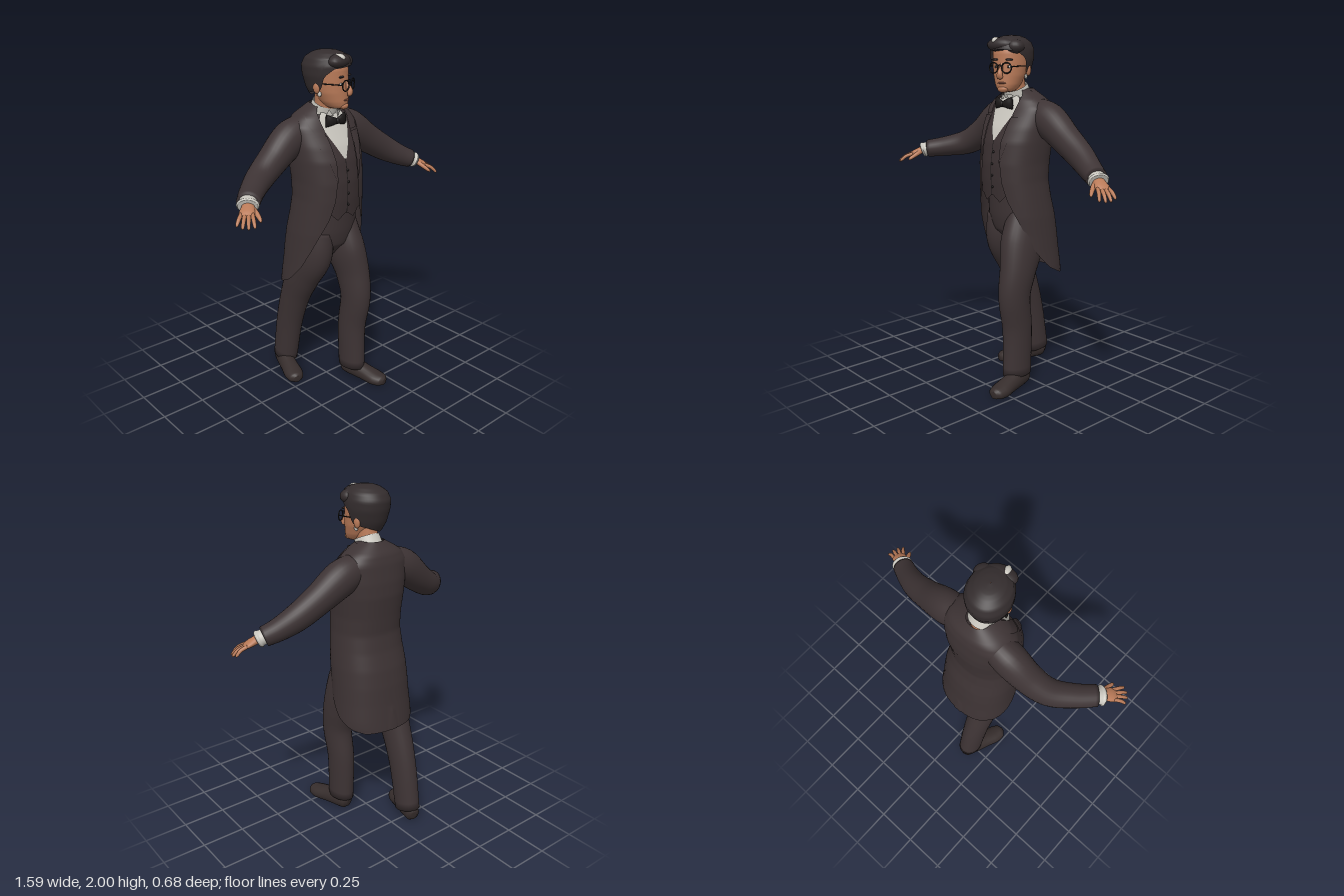
import * as THREE from 'three';
import { mergeVertices } from 'three/addons/utils/BufferGeometryUtils.js';

const mat = (name, color) => new THREE.MeshStandardMaterial({ name, color, side: THREE.DoubleSide });
const V = (x, y, z) => new THREE.Vector3(x, y, z);

// Smooth surface from a rule (u, v) -> point
function grid(nu, nv, fn) {
  const pos = [], idx = [];
  for (let j = 0; j <= nv; j++) for (let i = 0; i <= nu; i++) pos.push(...fn(i / nu, j / nv));
  for (let j = 0; j < nv; j++) for (let i = 0; i < nu; i++) {
    const a = j * (nu + 1) + i, b = a + 1, c = a + nu + 1, d = c + 1;
    idx.push(a, b, c, b, d, c);
  }
  let g = new THREE.BufferGeometry();
  g.setAttribute('position', new THREE.Float32BufferAttribute(pos, 3));
  g.setIndex(idx);
  g = mergeVertices(g, 1e-5);
  g.computeVertexNormals();
  return g;
}

// Capped oval tube through rows of [x, y, z, sideRadius, otherRadius]
function sweep(rows, ref = V(0, 1, 0), n = 20, steps = 6) {
  const path = new THREE.CatmullRomCurve3(rows.map(r => V(r[0], r[1], r[2])));
  const size = new THREE.CatmullRomCurve3(rows.map(r => V(r[3], r[4], 0)));
  const m = (rows.length - 1) * steps;
  return grid(n, m + 2, (u, v) => {
    const j = Math.round(v * (m + 2)), t = Math.min(Math.max(j - 1, 0), m) / m;
    const c = path.getPoint(t), s = size.getPoint(t), k = j === 0 || j === m + 2 ? 0 : 1;
    const tan = path.getTangent(t), a = ref.clone().cross(tan).normalize(), b = tan.clone().cross(a);
    const ang = u * Math.PI * 2;
    c.addScaledVector(a, k * s.x * Math.cos(ang)).addScaledVector(b, k * s.y * Math.sin(ang));
    return [c.x, Math.max(c.y, 0), c.z];
  });
}

// Interpolate a table sorted by its first column
function at(table, y) {
  let i = 0;
  while (i < table.length - 2 && y > table[i + 1][0]) i++;
  const a = table[i], b = table[i + 1], t = THREE.MathUtils.clamp((y - a[0]) / (b[0] - a[0]), 0, 1);
  return a.map((q, k) => q + (b[k] - q) * t);
}

// Point on a body of oval rings [y, halfWidth, front, back]; angle 0 is the front
function ring(table, y, ang, off = 0, pw = 1) {
  const [, rx, zf, zb] = at(table, y), s = Math.sin(ang), c = Math.cos(ang);
  const f = q => Math.sign(q) * Math.abs(q) ** pw;
  return [(rx + off) * f(s), y, (zf + zb) / 2 + ((zf - zb) / 2 + off) * f(c)];
}

// Coat rings, last column is the angle of the front edge
const COAT = [
  [0.64, 0.238, 0.15, -0.245, 2.4], [0.66, 0.238, 0.15, -0.243, 1.95], [0.7, 0.237, 0.15, -0.238, 1.6],
  [0.8, 0.23, 0.16, -0.225, 1.22], [0.9, 0.225, 0.17, -0.215, 0.97], [1.0, 0.22, 0.185, -0.2, 0.76],
  [1.1, 0.21, 0.192, -0.175, 0.52], [1.2, 0.2, 0.2, -0.16, 0.39], [1.3, 0.2, 0.2, -0.168, 0.33],
  [1.42, 0.21, 0.182, -0.18, 0.31], [1.5, 0.215, 0.15, -0.178, 0.34], [1.6, 0.215, 0.095, -0.165, 0.4],
  [1.65, 0.17, 0.07, -0.15, 0.55], [1.68, 0.12, 0.05, -0.125, 0.75], [1.71, 0.065, 0.03, -0.1, 0.9]];
const FACE = [
  [1.688, 0.002, 0.09, 0.08], [1.69, 0.03, 0.11, 0.03], [1.705, 0.052, 0.126, 0.0], [1.73, 0.068, 0.13, -0.03],
  [1.78, 0.086, 0.128, -0.06], [1.84, 0.096, 0.127, -0.09], [1.9, 0.1, 0.125, -0.1], [1.95, 0.09, 0.11, -0.09],
  [1.98, 0.05, 0.06, -0.05]];
const HAIR = [
  [1.74, 0.075, 0.1, -0.075], [1.8, 0.102, 0.13, -0.11], [1.87, 0.118, 0.135, -0.13], [1.92, 0.119, 0.14, -0.135],
  [1.96, 0.105, 0.13, -0.115], [1.985, 0.073, 0.095, -0.075], [1.995, 0.045, 0.06, -0.045], [2.0, 0.001, 0.011, 0.009]];
const HAIRLINE = [[0, 1.92], [0.8, 1.91], [1.2, 1.87], [1.42, 1.8], [1.75, 1.79], [2.1, 1.78], [Math.PI, 1.75]];

export function createModel() {
  const suit = mat('suit cloth', 0x3d3334), vestM = mat('vest cloth', 0x3a3031), skin = mat('skin', 0xb97a58);
  const white = mat('shirt white', 0xc9c6be), hairM = mat('hair', 0x332c2d), black = mat('black trim', 0x1c1919);
  const shoeM = mat('shoe leather', 0x362d2c), lip = mat('lips', 0x8e5543);
  const root = new THREE.Group();
  const body = new THREE.Group(), head = new THREE.Group();
  body.name = 'body'; head.name = 'head';
  root.add(body, head);
  const add = (parent, name, geo, m, p) => {
    const o = new THREE.Mesh(geo, m);
    o.name = name;
    if (p) o.position.set(...p);
    parent.add(o);
    return o;
  };
  const blob = (parent, name, m, p, s) => add(parent, name, new THREE.SphereGeometry(1, 20, 14), m, p).scale.set(...s);
  const coatAt = (y, a, off) => { const p = ring(COAT, y, a, off, 0.88); p[0] -= 0.008; return p; };

  // Tailcoat: wraps from one front edge to the other, with a slit at the back
  add(body, 'tailcoat', grid(61, 70, (u, v) => {
    const y = 0.64 + 1.07 * v, a0 = at(COAT, y)[4];
    const gap = Math.max(0, 0.77 - y) * 0.55, i = Math.round(u * 61);
    const half = Math.PI - gap;
    const a = i <= 30 ? a0 + (half - a0) * i / 30 : 2 * Math.PI - half + (half - a0) * (i - 31) / 30;
    return gap === 0 || (i !== 30 && i !== 31) ? coatAt(y, a, 0) : coatAt(y, a, 0.004);
  }), suit);

  // Waistcoat with two points, shirt front in the V, front seam and buttons
  add(body, 'vest', grid(40, 30, (u, v) => {
    const a = (u - 0.5) * 2, low = 1.125 - 0.04 * Math.max(0, 1 - Math.abs(Math.abs(a) - 0.25) / 0.25);
    return coatAt(low + (1.66 - low) * v, a * 0.95, -0.012);
  }), vestM);
  add(body, 'shirtFront', grid(12, 16, (u, v) => {
    const y = 1.43 + 0.24 * v;
    return coatAt(y, (u - 0.5) * 2 * Math.min(0.48, 0.02 + 0.55 * v), -0.006);
  }), white);
  add(body, 'vestSeam', grid(2, 14, (u, v) => coatAt(1.12 + 0.31 * v, (u - 0.5) * 0.014, -0.009)), black);
  for (let i = 0; i < 4; i++) {
    const p = coatAt(1.17 + i * 0.065, 0.03, -0.01);
    blob(body, 'vestButton', black, p, [0.007, 0.007, 0.005]);
  }

  // Notched lapels and coat collar, mirrored
  for (const s of [1, -1]) {
    const strip = (name, y0, y1, w0, w1) => add(body, name, grid(8, 16, (u, v) => {
      const y = y0 + (y1 - y0) * v, a0 = at(COAT, y)[4] - 0.02;
      const k = s > 0 ? u : 1 - u;
      return coatAt(y, s * (a0 + (w0 + (w1 - w0) * v) * k), 0.007);
    }), suit);
    strip('lapel', 1.31, 1.56, 0.02, 0.42);
    strip('coatCollar', 1.57, 1.7, 0.3, 0.7);
  }

  // Trousers and shoes
  const fwd = V(0, 0, 1);
  add(body, 'trouserSeat', sweep([[0, 1.16, 0, 0.18, 0.16], [0, 1.0, 0, 0.185, 0.15], [0, 0.9, 0, 0.15, 0.13],
    [0, 0.83, 0.01, 0.05, 0.06]], fwd, 32), suit);
  add(body, 'leftTrouserLeg', sweep([[0.09, 1.0, 0, 0.09, 0.13], [0.1, 0.85, 0.05, 0.1, 0.14],
    [0.118, 0.7, 0.1, 0.09, 0.115], [0.12, 0.55, 0.13, 0.08, 0.1], [0.115, 0.35, 0.105, 0.073, 0.094],
    [0.115, 0.07, 0.108, 0.066, 0.093]], fwd, 28), suit);
  add(body, 'rightTrouserLeg', sweep([[-0.09, 1.0, 0, 0.09, 0.13], [-0.1, 0.85, -0.01, 0.1, 0.14],
    [-0.115, 0.7, -0.075, 0.09, 0.12], [-0.12, 0.55, -0.14, 0.08, 0.1], [-0.12, 0.35, -0.205, 0.073, 0.09],
    [-0.118, 0.07, -0.26, 0.068, 0.083]], fwd, 28), suit);
  const shoe = (name, hx, hz, tx, tz) => add(body, name, sweep(
    [[0, 0.04, 0.02, 0.03], [0.06, 0.045, 0.042, 0.05], [0.3, 0.045, 0.05, 0.06], [0.55, 0.035, 0.053, 0.05],
      [0.78, 0.025, 0.058, 0.042], [0.94, 0.022, 0.045, 0.034], [1, 0.02, 0.02, 0.022]]
      .map(([t, y, w, h]) => [hx + (tx - hx) * t, y, hz + (tz - hz) * t, w, h])), shoeM);
  shoe('leftShoe', 0.11, 0.03, 0.178, 0.338);
  shoe('rightShoe', -0.11, -0.33, -0.208, -0.03);

  // Sleeve, cuff and hand with spread fingers
  function arm(side, rows, wrist, tip) {
    const label = side > 0 ? 'left' : 'right';
    add(body, label + 'Sleeve', sweep(rows, V(0, 1, 0), 28), suit);
    const w = V(...wrist), d = V(...tip).sub(w).normalize();
    const across = V(-d.z * side, 0, d.x * side).normalize(), up = V(0, 1, 0);
    const pt = (along, out, lift, a, b) =>
      [...w.clone().addScaledVector(d, along).addScaledVector(across, out).addScaledVector(up, lift).toArray(), a, b];
    const e = rows[rows.length - 1], c = V(e[0], e[1], e[2]).lerp(w, -0.5);
    add(body, label + 'Cuff', sweep([[c.x, c.y, c.z, 0.046, 0.04], pt(0, 0, 0, 0.05, 0.042),
      pt(0.018, 0, 0, 0.05, 0.042)]), white);
    add(body, label + 'Palm', sweep([pt(-0.01, 0, 0, 0.028, 0.024), pt(0.03, 0.002, 0.002, 0.034, 0.022),
      pt(0.07, 0, 0.002, 0.04, 0.018), pt(0.095, 0, 0, 0.034, 0.012)]), skin);
    for (let i = 0; i < 4; i++) {
      const k = i - 1.5, len = [0.055, 0.074, 0.078, 0.068][i];
      add(body, label + 'Finger', sweep([pt(0.075, k * 0.018, 0.002, 0.0105, 0.011),
        pt(0.09 + len * 0.5, k * 0.024, 0.003, 0.0105, 0.0105), pt(0.086 + len, k * 0.029, -0.01, 0.008, 0.008),
        pt(0.092 + len, k * 0.03, -0.014, 0.003, 0.003)], up, 10, 4), skin);
    }
    add(body, label + 'Thumb', sweep([pt(0.02, 0.015, 0, 0.016, 0.016), pt(0.05, 0.042, -0.008, 0.014, 0.013),
      pt(0.09, 0.065, -0.018, 0.01, 0.01), pt(0.102, 0.07, -0.022, 0.004, 0.004)], up, 10, 4), skin);
  }
  arm(1, [[0.12, 1.57, -0.05, 0.085, 0.09], [0.21, 1.535, -0.05, 0.092, 0.1], [0.35, 1.445, -0.04, 0.08, 0.085],
    [0.48, 1.365, -0.022, 0.07, 0.075], [0.58, 1.31, 0.012, 0.062, 0.062], [0.645, 1.282, 0.04, 0.058, 0.054]],
  [0.662, 1.275, 0.048], [0.8, 1.2, 0.118]);
  arm(-1, [[-0.13, 1.57, -0.05, 0.085, 0.09], [-0.22, 1.53, -0.05, 0.092, 0.1], [-0.35, 1.435, -0.035, 0.082, 0.085],
    [-0.46, 1.37, 0.0, 0.075, 0.074], [-0.57, 1.34, 0.085, 0.066, 0.06], [-0.65, 1.325, 0.165, 0.06, 0.052]],
  [-0.662, 1.32, 0.18], [-0.775, 1.255, 0.315]);

  // Neck, wing collar and bow tie
  add(body, 'neck', sweep([[-0.01, 1.6, -0.02, 0.06, 0.06], [-0.012, 1.7, 0.005, 0.058, 0.062],
    [-0.015, 1.78, 0.02, 0.06, 0.065]], fwd), skin);
  const collar = add(body, 'shirtCollar', new THREE.CylinderGeometry(0.07, 0.078, 0.06, 32, 1, true), white, [-0.01, 1.69, -0.004]);
  collar.rotation.x = 0.42;
  for (const s of [1, -1]) {
    const wing = add(body, 'collarWing', new THREE.CircleGeometry(0.026, 3), white, [-0.01 + s * 0.032, 1.664, 0.075]);
    wing.rotation.set(0.1, s * 0.4, s * 0.4);
    add(body, 'bowTieLobe', sweep([[-0.01, 1.625, 0.1, 0.012, 0.014], [-0.01 + s * 0.035, 1.628, 0.098, 0.014, 0.026],
      [-0.01 + s * 0.066, 1.63, 0.088, 0.01, 0.034]]), black);
  }
  blob(body, 'bowTieKnot', black, [-0.01, 1.625, 0.103], [0.014, 0.017, 0.014]);

  // Head, turned a little to its left
  head.position.set(-0.02, 0, 0.02);
  head.rotation.y = 0.36;
  add(head, 'face', grid(40, 40, (u, v) => ring(FACE, 1.688 + 0.292 * v, u * Math.PI * 2)), skin);
  add(head, 'hair', grid(56, 26, (u, v) => {
    const a = u * Math.PI * 2, low = at(HAIRLINE, Math.min(a, 2 * Math.PI - a))[1];
    return ring(HAIR, low + (2.0 - low) * (1 - (1 - v) ** 2), a);
  }), hairM);
  blob(head, 'quiff', hairM, [-0.02, 1.945, 0.09], [0.085, 0.04, 0.052]);
  blob(head, 'quiff', hairM, [0.055, 1.935, 0.075], [0.055, 0.04, 0.05]);
  blob(head, 'whiteForelock', white, [-0.045, 1.966, 0.105], [0.02, 0.021, 0.034]);
  add(head, 'nose', sweep([[0, 1.85, 0.112, 0.009, 0.012], [0, 1.82, 0.128, 0.011, 0.014],
    [0, 1.79, 0.146, 0.016, 0.016], [0, 1.772, 0.145, 0.018, 0.012], [0, 1.764, 0.135, 0.008, 0.004]], fwd, 16), skin);
  blob(head, 'mouth', lip, [0, 1.741, 0.124], [0.026, 0.006, 0.01]);
  blob(head, 'chin', skin, [0, 1.708, 0.11], [0.032, 0.02, 0.024]);
  add(head, 'glassesBridge', new THREE.TorusGeometry(0.011, 0.003, 8, 14, Math.PI), black, [0, 1.826, 0.148]);
  for (const s of [1, -1]) {
    blob(head, 'ear', skin, [s * 0.1, 1.81, 0.0], [0.013, 0.032, 0.02]);
    blob(head, 'greySideburn', white, [s * 0.091, 1.775, 0.012], [0.006, 0.014, 0.012]);
    blob(head, 'eye', white, [s * 0.038, 1.828, 0.112], [0.014, 0.008, 0.008]);
    blob(head, 'pupil', black, [s * 0.038, 1.828, 0.118], [0.006, 0.007, 0.004]);
    blob(head, 'eyebrow', hairM, [s * 0.04, 1.866, 0.117], [0.027, 0.006, 0.008]);
    const rim = add(head, 'glassesRim', new THREE.TorusGeometry(0.028, 0.0035, 8, 28), black, [s * 0.04, 1.822, 0.142]);
    rim.rotation.y = s * 0.15;
    add(head, 'glassesTemple', sweep([[s * 0.069, 1.828, 0.138, 0.003, 0.003], [s * 0.096, 1.832, 0.08, 0.003, 0.003],
      [s * 0.104, 1.832, 0.01, 0.003, 0.003]], V(0, 1, 0), 8), black);
  }
  return root;
}
